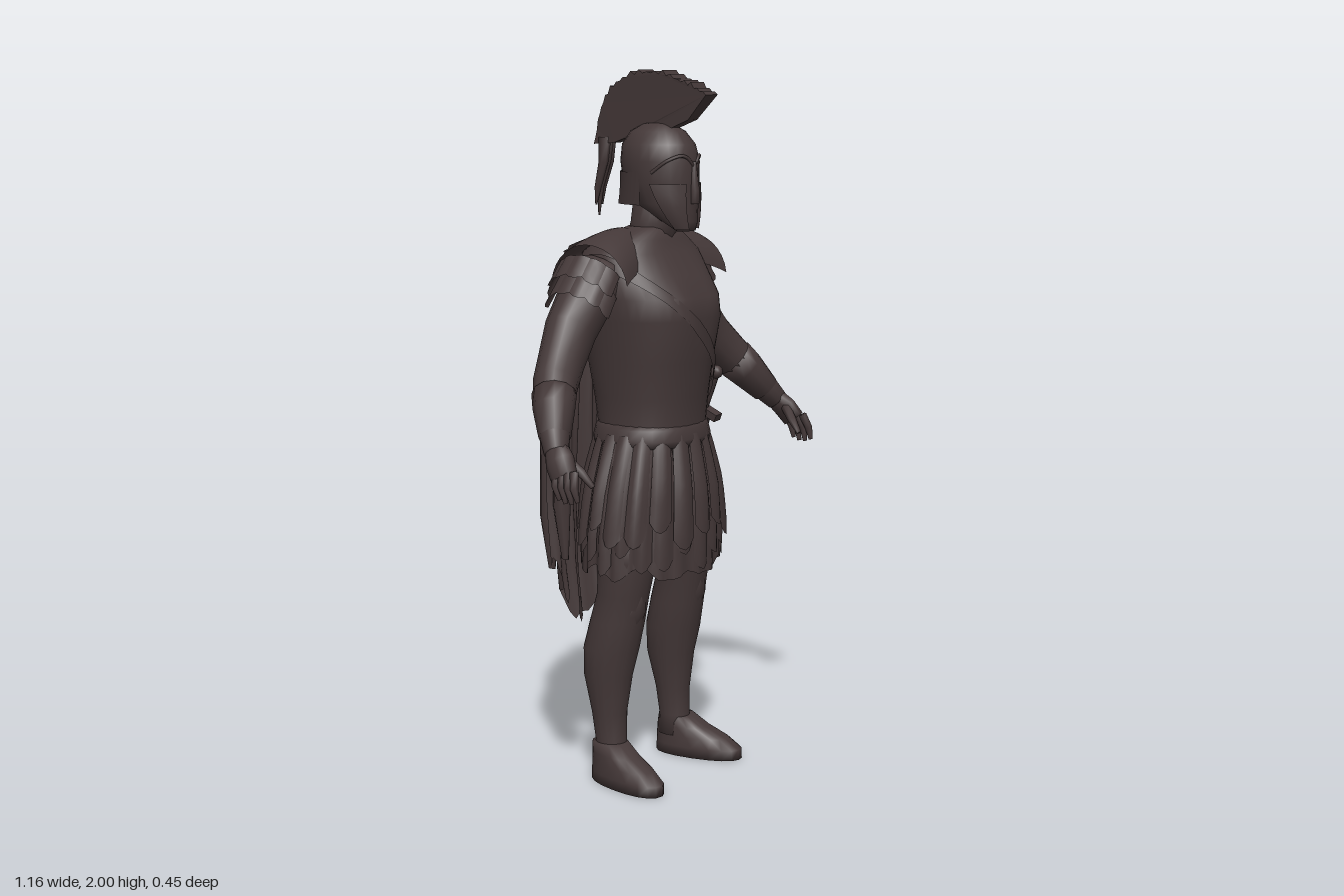
import * as THREE from 'three';

const umber = new THREE.MeshStandardMaterial({ color: 0x443838, side: THREE.DoubleSide });
umber.name = 'dark umber';
const { sin, cos, abs, PI, pow, sign } = Math;
const lerp = (a, b, t) => a + (b - a) * t;
const soft = (v, power) => sign(v) * pow(abs(v), power);

// Piecewise-linear lookup of a table whose rows start with the key
function sample(rows, key) {
  let i = 0;
  while (i < rows.length - 2 && key > rows[i + 1][0]) i++;
  const t = Math.min(1, Math.max(0, (key - rows[i][0]) / (rows[i + 1][0] - rows[i][0])));
  return rows[i].map((v, k) => lerp(v, rows[i + 1][k], t));
}

// Skin over elliptical rings [x, y, z, a, b]; level rings stay horizontal
function loft(rings, { n = 16, level = true, power = 1 } = {}) {
  const pos = [], idx = [], P = rings.map(r => new THREE.Vector3(r[0], r[1], r[2]));
  const last = P.length - 1;
  rings.forEach((r, i) => {
    const t = P[Math.min(i + 1, last)].clone().sub(P[Math.max(i - 1, 0)]).normalize();
    if (level) t.set(0, sign(P[last].y - P[0].y), 0);
    const u = level ? new THREE.Vector3(1, 0, 0) : new THREE.Vector3(0, 0, 1).cross(t).normalize();
    const v = t.clone().cross(u);
    for (let j = 0; j < n; j++) {
      const a = j / n * 2 * PI;
      const p = P[i].clone().addScaledVector(u, r[3] * soft(cos(a), power)).addScaledVector(v, r[4] * soft(sin(a), power));
      pos.push(p.x, p.y, p.z);
      if (i < last) {
        const A = i * n + j, B = i * n + (j + 1) % n;
        idx.push(A, B, B + n, A, B + n, A + n);
      }
    }
  });
  const base = pos.length / 3;
  pos.push(...P[0].toArray(), ...P[last].toArray());
  for (let j = 0; j < n; j++) {
    const k = (j + 1) % n;
    idx.push(base, k, j, base + 1, last * n + j, last * n + k);
  }
  return finish(pos, idx);
}

// Sheet from fn(u, v) -> [x, y, z]
function sheet(nu, nv, fn) {
  const pos = [], idx = [];
  for (let i = 0; i <= nu; i++) for (let j = 0; j <= nv; j++) {
    pos.push(...fn(i / nu, j / nv));
    if (i < nu && j < nv) {
      const a = i * (nv + 1) + j, b = a + nv + 1;
      idx.push(a, b, b + 1, a, b + 1, a + 1);
    }
  }
  return finish(pos, idx);
}

function finish(pos, idx) {
  const g = new THREE.BufferGeometry();
  g.setAttribute('position', new THREE.Float32BufferAttribute(pos, 3));
  g.setIndex(idx);
  g.computeVertexNormals();
  return g;
}

// Torso profile: y, centre z, half width, half depth
const TORSO = [[0.93, 0.03, 0.165, 0.145], [1.02, 0.03, 0.156, 0.142], [1.1, 0.028, 0.163, 0.152],
  [1.2, 0.025, 0.176, 0.168], [1.32, 0.028, 0.195, 0.18], [1.38, 0.018, 0.203, 0.178], [1.44, 0, 0.205, 0.158],
  [1.5, -0.01, 0.195, 0.13], [1.535, -0.002, 0.15, 0.1], [1.57, 0.03, 0.07, 0.06]];
// Skirt profile: y, half width, half depth
const SKIRT = [[0.6, 0.242, 0.178], [0.72, 0.234, 0.176], [0.85, 0.208, 0.168], [0.95, 0.178, 0.152], [1.02, 0.155, 0.138]];
// Cape profile: y, z
const HANG = [[0.42, -0.165], [0.6, -0.185], [0.85, -0.19], [1.2, -0.172], [1.38, -0.148], [1.5, -0.125], [1.55, -0.08]];

export function createModel() {
  const model = new THREE.Group();
  const add = (name, geo) => {
    const m = new THREE.Mesh(geo, umber);
    m.name = name;
    model.add(m);
    return m;
  };

  // Breastplate with softly raised chest, belt and shoulder strap
  const breastplate = loft(TORSO.map(([y, z, a, b]) => [0, y, z, a, b]), { n: 40, power: 0.9 });
  const bp = breastplate.attributes.position;
  for (let i = 0; i < bp.count; i++) {
    const x = abs(bp.getX(i)), y = bp.getY(i);
    if (bp.getZ(i) > 0.1) bp.setZ(i, bp.getZ(i) + 0.01 * Math.exp(-pow((x - 0.08) / 0.05, 2) - pow((y - 1.36) / 0.06, 2)));
  }
  breastplate.computeVertexNormals();
  add('breastplate', breastplate);
  add('belt', loft([[0, 0.965, 0.03, 0.17, 0.15], [0, 0.985, 0.03, 0.172, 0.154], [0, 1.015, 0.03, 0.164, 0.147], [0, 1.03, 0.03, 0.155, 0.138]], { n: 28, power: 0.9 }));
  add('shoulderStrap', sheet(48, 2, (u, v) => {
    const a = u * 2 * PI, y = 1.27 - 0.21 * cos(a) + (v - 0.5) * 0.045;
    const [, z, w, d] = sample(TORSO, y);
    return [soft(cos(a), 0.9) * (w + 0.007), y, z + soft(sin(a), 0.9) * (d + 0.009)];
  }));

  // Skirt: inner tunic with two overlapping rows of leather strips
  add('tunic', sheet(80, 6, (u, v) => {
    const a = u * 2 * PI, low = 0.62 + 0.02 * sin(a * 8) - 0.03 * pow(Math.max(0, sin(a)), 8);
    const [y, w, d] = sample(SKIRT, lerp(low, 1.0, v)), f = 0.95 + 0.03 * (1 - v) * sin(a * 20);
    return [cos(a) * w * f, y, 0.03 + sin(a) * d * f];
  }));
  [[20, 0.64, 0, 0.99], [18, 0.71, 0.5, 1.05]].forEach(([count, low, shift, grow]) => {
    for (let i = 0; i < count; i++) {
      const mid = (i + shift) / count * 2 * PI, end = low + 0.03 * sin(i * 2.3);
      add('skirtStrip', sheet(4, 7, (u, v) => {
        const k = u * 2 - 1, tip = 0.03 * v * k * k;
        const [y, w, d] = sample(SKIRT, lerp(1.0, end, v) + tip);
        const a = mid + k * 0.9 * PI / count, f = grow + 0.05 * (1 - k * k) * sin(PI * (0.15 + v * 0.7)) - 0.03 * abs(k);
        return [cos(a) * w * f, y, 0.03 + sin(a) * d * f];
      }));
    }
  });

  // Neck and closed helmet
  add('neck', loft([[0, 1.5, 0.02, 0.08, 0.075], [0, 1.58, 0.035, 0.066, 0.064], [0, 1.68, 0.05, 0.065, 0.065]]));
  add('helmet', loft([[0, 1.56, 0.145, 0.035, 0.02], [0, 1.585, 0.125, 0.057, 0.045], [0, 1.635, 0.075, 0.08, 0.096],
    [0, 1.69, 0.06, 0.091, 0.112], [0, 1.75, 0.056, 0.096, 0.116], [0, 1.795, 0.052, 0.088, 0.108],
    [0, 1.83, 0.05, 0.064, 0.081], [0, 1.85, 0.05, 0.032, 0.045], [0, 1.857, 0.05, 0.004, 0.004]], { n: 24 }));
  add('noseGuard', loft([[0, 1.635, 0.174, 0.014, 0.012], [0, 1.67, 0.174, 0.015, 0.012], [0, 1.75, 0.168, 0.008, 0.01]], { n: 8 }));
  add('neckGuard', sheet(16, 4, (u, v) => {
    const a = PI + u * PI;
    return [cos(a) * lerp(0.093, 0.085, v), 1.72 - 0.09 * v, 0.05 + sin(a) * lerp(0.112, 0.123, v * v)];
  }));
  for (const s of [1, -1]) {
    // Brow rim and raised cheek plate
    add('browRim', new THREE.TubeGeometry(new THREE.CatmullRomCurve3([[0, 1.735, 0.172], [0.035, 1.765, 0.162],
      [0.07, 1.755, 0.136], [0.089, 1.72, 0.09]].map(p => new THREE.Vector3(s * p[0], p[1], p[2]))), 12, 0.005, 6));
    add('cheekPlate', sheet(4, 4, (u, v) => {
      const a = lerp(0.25, 1.22 - 0.1 * v, u), y = lerp(1.69, 1.565, v);
      return [s * cos(a) * lerp(0.097, 0.05, v * v), y, lerp(0.058, 0.13, v) + sin(a) * lerp(0.118, 0.046, v)];
    }));
  }

  // Bristle crest, ragged along the top and narrower at its base
  const arc = new THREE.CatmullRomCurve3([[0.228, 1.93], [0.17, 1.955], [0.1, 1.98], [0.02, 1.987], [-0.06, 1.965],
    [-0.12, 1.905], [-0.16, 1.79]].map(p => new THREE.Vector3(p[0], p[1], 0)));
  const outline = arc.getPoints(36).map((p, i) => new THREE.Vector2(p.x, p.y + (i % 2 && i < 35 ? 0.008 + 0.005 * sin(i * 4) : 0)));
  [[-0.09, 1.795], [-0.03, 1.815], [0.05, 1.84], [0.11, 1.84], [0.165, 1.862]].forEach(p => outline.push(new THREE.Vector2(...p)));
  const crest = new THREE.ExtrudeGeometry(new THREE.Shape(outline), { depth: 0.06, bevelEnabled: false });
  crest.translate(0, 0, -0.03).rotateY(-PI / 2);
  const cp = crest.attributes.position;
  for (let i = 0; i < cp.count; i++) cp.setX(i, cp.getX(i) * lerp(0.6, 1.1, Math.min(1, Math.max(0, (cp.getY(i) - 1.82) / 0.16))));
  crest.computeVertexNormals();
  add('crest', crest);
  for (let i = -1; i <= 1; i++) {
    add('crestTail', loft([[i * 0.012, 1.81, -0.125, 0.013, 0.02], [i * 0.013, 1.74, -0.13, 0.011, 0.015],
      [i * 0.012, 1.67, -0.15, 0.009, 0.01], [i * 0.014, 1.59 + abs(i) * 0.03, -0.155, 0.002, 0.003]], { n: 6 }));
  }

  for (const s of [1, -1]) {
    const limb = (name, rings, o) => add(name, loft(rings.map(([x, ...r]) => [s * x, ...r]), o));

    // Shoulder plate and two layers of flaps over the upper arm
    add('shoulderPlate', sheet(14, 6, (u, v) => {
      const a = (u - 0.5) * 2.9, r = lerp(0.09, 0.13, v);
      return [s * (lerp(0.085, 0.248, v) - 0.01 * abs(sin(a)) * v), lerp(1.568, 1.53, v * v) - (1 - cos(a)) * 0.12,
        -0.01 + sin(a) * r];
    }));
    [[0.185, 1.425, 0.105, 0], [0.207, 1.385, 0.096, 0.5]].forEach(([cx, cy, r, shift]) => {
      for (let i = 0; i < 6; i++) add('shoulderFlap', sheet(3, 3, (u, v) => {
        const k = u * 2 - 1, a = (i + shift - 3.25 + u) * 0.48, q = r + 0.004 * (1 - k * k) + 0.004 * v;
        const along = v * (0.076 - 0.012 * k * k);
        return [s * (cx + along * 0.62 + cos(a) * q * 0.62), cy - along * 0.78 + cos(a) * q * 0.72, -0.035 + sin(a) * q];
      }));
    });

    // Arm, bracer and hand
    limb('arm', [[0.16, 1.45, -0.02, 0.07, 0.085], [0.225, 1.385, -0.03, 0.076, 0.08], [0.288, 1.3, -0.035, 0.075, 0.07],
      [0.355, 1.222, -0.015, 0.068, 0.062], [0.405, 1.172, 0.005, 0.064, 0.06], [0.452, 1.122, 0.035, 0.056, 0.055],
      [0.502, 1.06, 0.078, 0.042, 0.042], [0.532, 1.015, 0.108, 0.032, 0.034]], { n: 14, level: false });
    limb('bracer', [[0.43, 1.147, 0.02, 0.062, 0.06], [0.46, 1.113, 0.043, 0.057, 0.056], [0.507, 1.05, 0.083, 0.043, 0.043]], { n: 12, level: false });
    limb('palm', [[0.522, 1.03, 0.098, 0.028, 0.03], [0.543, 0.995, 0.128, 0.026, 0.042], [0.556, 0.96, 0.152, 0.02, 0.04]], { n: 10, level: false });
    for (let f = 0; f < 4; f++) {
      const z = 0.124 + f * 0.02, drop = 0.007 * abs(f - 1.5);
      limb('finger', [[0.555, 0.975, z, 0.012, 0.012], [0.571, 0.935, z + 0.012, 0.011, 0.011],
        [0.568, 0.89 + drop, z + 0.022, 0.006, 0.006]], { n: 6, level: false });
    }
    limb('thumb', [[0.528, 1.0, 0.14, 0.015, 0.015], [0.511, 0.965, 0.175, 0.013, 0.013], [0.502, 0.93, 0.205, 0.007, 0.007]], { n: 6, level: false });

    // Leg, knee and boot
    limb('leg', [[0.12, 0.78, 0.04, 0.1, 0.1], [0.138, 0.65, 0.046, 0.084, 0.084], [0.142, 0.55, 0.034, 0.074, 0.076],
      [0.145, 0.47, 0.016, 0.075, 0.08], [0.15, 0.39, -0.002, 0.077, 0.082], [0.152, 0.31, -0.012, 0.067, 0.072],
      [0.155, 0.2, -0.006, 0.05, 0.051], [0.155, 0.12, 0, 0.043, 0.046], [0.158, 0.06, 0, 0.048, 0.052]], { n: 16 });
    limb('knee', [[0.145, 0.57, 0.08, 0.03, 0.03], [0.147, 0.5, 0.066, 0.045, 0.04], [0.15, 0.43, 0.05, 0.03, 0.03]], { n: 10 });
    const boot = limb('boot', [[0.16, 0, 0.075, 0.056, 0.134], [0.16, 0.03, 0.075, 0.057, 0.133], [0.16, 0.058, 0.055, 0.053, 0.112],
      [0.16, 0.085, 0.025, 0.049, 0.08], [0.16, 0.115, 0.002, 0.046, 0.052]], { n: 18, power: 0.88 });
    boot.geometry.translate(-s * 0.16, 0, 0).rotateY(s * 0.2).translate(s * 0.162, 0, 0);
  }

  // Cape with broad uneven folds and a ragged hem, swinging out behind
  add('cape', sheet(64, 18, (u, v) => {
    const k = u * 2 - 1, hem = 0.445 + 0.17 * k * k + 0.03 * sin(u * 41) + 0.015 * sin(u * 90);
    const half = lerp(0.175, 0.205, Math.min(1, v * 3)), fold = Math.min(1, v * 2.5);
    const y = lerp(1.55 - 0.03 * k * k, hem, v);
    return [-0.025 + k * half, y, sample(HANG, y)[1]
      + fold * (0.02 * sin(u * 27 + v * 2 * k) + 0.012 * sin(u * 55 + sin(v * 5))) + 0.06 * pow(abs(k), 3) * v];
  }));
  // Sagging folds draped across the upper back
  for (let i = 0; i < 4; i++) {
    const w = 0.17 - i * 0.012, dip = 1.4 - i * 0.09, wide = 0.02 + i * 0.004;
    add('capeFold', sheet(20, 4, (u, v) => {
      const k = u * 2 - 1, drop = pow(1 - abs(k), 1.3);
      const y = lerp(1.5, dip, drop) + (0.5 - v) * wide * (1 + 2 * drop);
      return [k * w, y, sample(HANG, y)[1] - 0.008 - 0.018 * sin(PI * v)];
    }));
  }
  // Loose gathered ends at both sides
  [[-0.2, -0.175, 0.6], [-0.222, -0.11, 0.64], [0.15, -0.165, 0.6], [0.185, -0.12, 0.7]].forEach(([x, z, low]) =>
    add('capeEnd', loft([[x, low, z, 0.006, 0.012], [x, low + 0.15, z - 0.012, 0.02, 0.028], [x, 1.15, z - 0.012, 0.018, 0.025],
      [x * 0.95, 1.33, z + 0.02, 0.015, 0.018], [x * 0.85, 1.44, z + 0.05, 0.01, 0.012]], { n: 7 })));

  // Sheathed sword hanging at the left hip
  const sword = new THREE.Group();
  sword.name = 'sword';
  const part = (name, geo, y) => {
    const m = new THREE.Mesh(geo, umber);
    m.name = name;
    m.position.y = y;
    sword.add(m);
  };
  part('blade', new THREE.BoxGeometry(0.016, 0.48, 0.055), -0.24);
  part('bladeTip', new THREE.ConeGeometry(0.032, 0.18, 4).rotateX(PI).scale(0.35, 1, 0.9), -0.565);
  part('guard', new THREE.BoxGeometry(0.03, 0.022, 0.11), 0.01);
  part('grip', new THREE.CylinderGeometry(0.013, 0.013, 0.1, 8), 0.07);
  part('pommel', new THREE.SphereGeometry(0.02, 10, 8), 0.135);
  const tip = new THREE.Vector3(0.27, 0.45, -0.2), hilt = new THREE.Vector3(0.207, 1.02, 0.06);
  sword.position.copy(hilt);
  sword.quaternion.setFromUnitVectors(new THREE.Vector3(0, 1, 0), hilt.clone().sub(tip).normalize());
  model.add(sword);
  return model;
}
